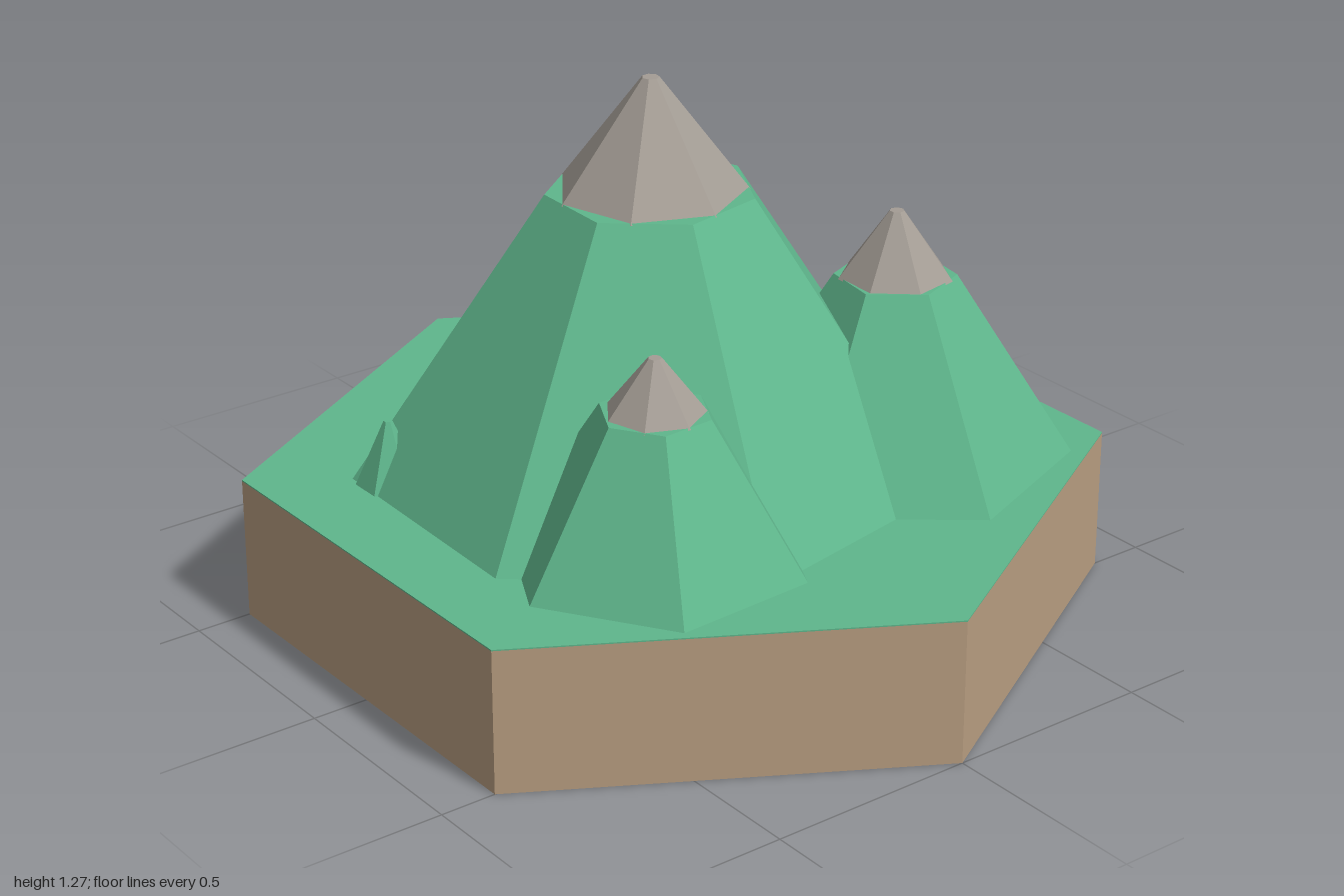
import * as THREE from 'three';

const material = (color) => new THREE.MeshStandardMaterial({ color, flatShading: true });

// Faceted frustum standing on y0; 'corner' is the angle in degrees of one corner, from +x towards +z
function frustum(name, mat, sides, [x, z], y0, y1, rBottom, rTop, corner) {
  const geometry = new THREE.CylinderGeometry(rTop, rBottom, y1 - y0, sides);
  geometry.rotateY(THREE.MathUtils.degToRad(90 - corner));
  const mesh = new THREE.Mesh(geometry, mat);
  mesh.name = name;
  mesh.position.set(x, (y0 + y1) / 2, z);
  return mesh;
}

export function createModel() {
  const model = new THREE.Group();
  model.name = 'mountainTile';
  const earth = material(0xb89d80);
  const grass = material(0x5fb68c);
  const rock = material(0xa39c94);
  const ground = 0.345;

  // Hexagonal slab with a grass top
  model.add(frustum('earthBase', earth, 6, [0, 0], 0, ground - 0.003, 1, 1, 90));
  model.add(frustum('grassTop', grass, 6, [0, 0], ground - 0.003, ground, 1, 1, 90));

  // Mountains: truncated slopes with a rocky seven-sided cap
  const mountains = [
    { name: 'mainMountain', at: [-0.05, -0.035], sides: 7, r: 0.69, rTop: 0.24, corner: 1.7,
      shoulder: 1.008, peak: 1.27, capR: 0.222, capTip: 0.02, capCorner: -16 },
    { name: 'rightMountain', at: [0.412, 0.27], sides: 6, r: 0.417, rTop: 0.14, corner: -21.5,
      shoulder: 0.785, peak: 0.94, capR: 0.133, capTip: 0.017, capCorner: 2 },
    { name: 'leftMountain', at: [-0.348, 0.375], sides: 6, r: 0.347, rTop: 0.128, corner: -3,
      shoulder: 0.695, peak: 0.82, capR: 0.115, capTip: 0.015, capCorner: -16 },
  ];
  for (const m of mountains) {
    const group = new THREE.Group();
    group.name = m.name;
    group.add(frustum('slopes', grass, m.sides, m.at, ground, m.shoulder, m.r, m.rTop, m.corner));
    group.add(frustum('rockCap', rock, 7, m.at, m.shoulder - 0.004, m.peak, m.capR, m.capTip, m.capCorner));
    model.add(group);
  }

  // Small trees behind the mountains
  for (const at of [[0.172, -0.67], [0.586, -0.385], [-0.605, -0.285]]) {
    model.add(frustum('tree', grass, 6, at, ground, 0.5, 0.078, 0.01, 90));
  }
  return model;
}
